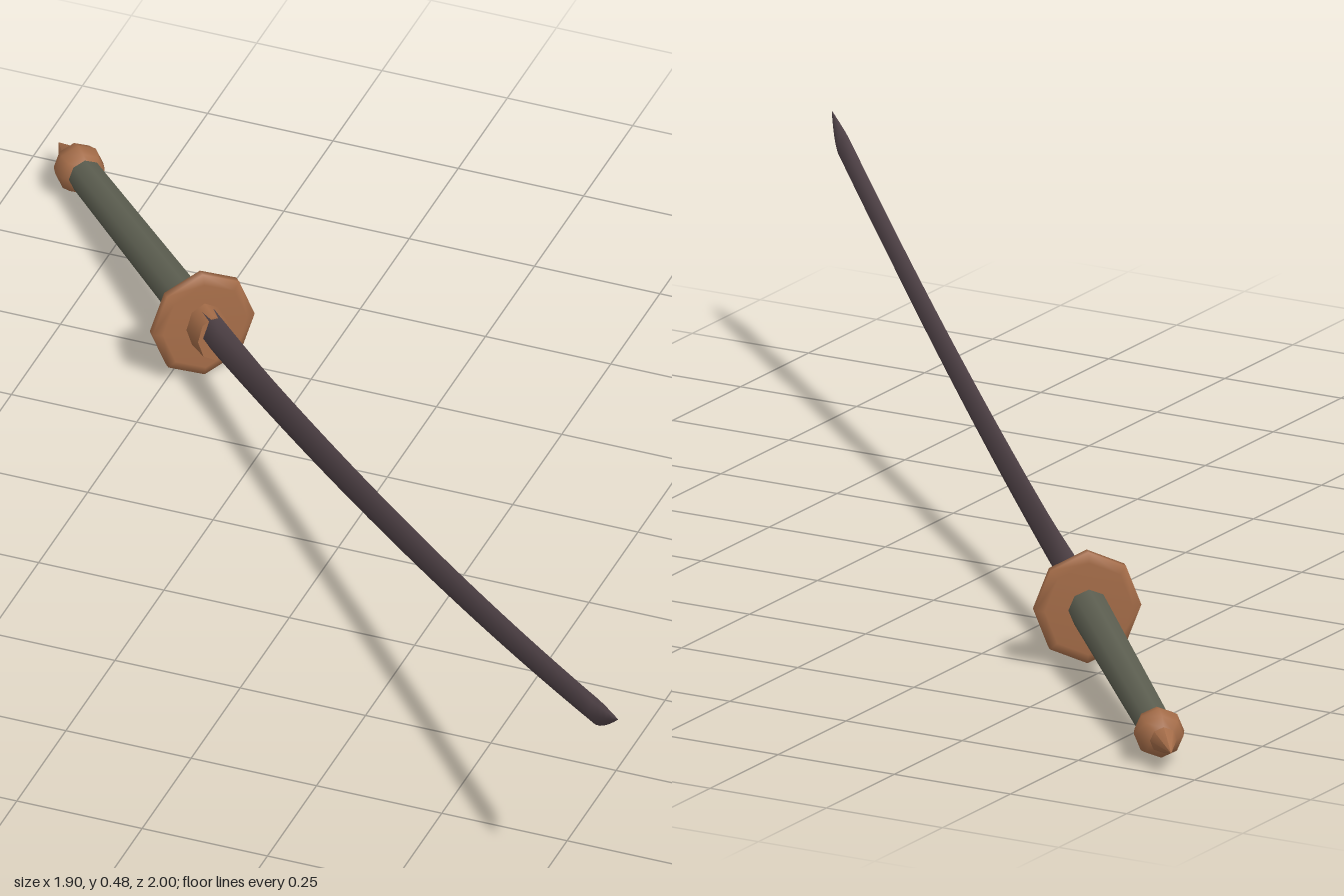
import * as THREE from 'three';

const metal = new THREE.MeshStandardMaterial({ color: 0x53454a });
metal.name = 'darkSteel';
const copper = new THREE.MeshStandardMaterial({ color: 0xa46c48 });
copper.name = 'copper';
const wrap = new THREE.MeshStandardMaterial({ color: 0x5d5f51 });
wrap.name = 'gripWrap';

const START = -0.61, BEND = 1.27, TIP = 1.379;

// Cross-section of the blade at distance s along the sword, as [s, y, z] points
function bladeSection(s) {
  const top = 0.225 + 0.137 * s + 0.0346 * s * s;
  const along = (s - START) / (TIP - START);
  const t = Math.max(0, (s - BEND) / (TIP - BEND));
  const taper = 1 - Math.pow(t, 1.4);
  const h = (0.08 - 0.027 * along) * taper;
  const root = Math.max(0, (-0.33 - s) / 0.29);
  const w = (0.0155 + 0.012 * root) * taper;
  const bow = 0.014 * (1 - along * along);
  return [
    [s, top, bow + w * 0.45], [s, top - h * 0.45, bow + w], [s, top - h, bow],
    [s, top - h * 0.45, bow - w], [s, top, bow - w * 0.45],
  ];
}

function bladeGeometry() {
  const stations = [];
  for (let i = 0; i <= 24; i++) stations.push(START + (BEND - START) * i / 24);
  for (let i = 1; i <= 5; i++) stations.push(BEND + (TIP - BEND) * i / 5);
  const index = [];
  for (let k = 0; k < stations.length - 1; k++) {
    for (let i = 0; i < 5; i++) {
      const a = k * 5 + i, b = k * 5 + (i + 1) % 5;
      index.push(a, b, b + 5, a, b + 5, a + 5);
    }
  }
  const g = new THREE.BufferGeometry();
  g.setAttribute('position', new THREE.Float32BufferAttribute(stations.map(bladeSection).flat(2), 3));
  g.setIndex(index);
  g.computeVertexNormals();
  return g;
}

export function createModel() {
  const model = new THREE.Group();
  model.name = 'curvedSword';

  // The sword lies along local x, turned to the diagonal
  const sword = new THREE.Group();
  sword.name = 'sword';
  sword.rotation.y = -Math.atan2(1, 0.95);
  model.add(sword);

  const add = (parent, name, geometry, material, x = 0) => {
    const mesh = new THREE.Mesh(geometry, material);
    mesh.name = name;
    mesh.position.x = x;
    parent.add(mesh);
    return mesh;
  };
  add(sword, 'blade', bladeGeometry(), metal);

  // Hilt, with its origin at the middle of the guard
  const hilt = new THREE.Group();
  hilt.name = 'hilt';
  hilt.position.set(-0.636, 0.11, 0.014);
  hilt.rotation.set(0, -0.019, Math.atan(0.088));
  sword.add(hilt);

  // Octagonal guard with bevelled rim, standing almost upright
  const rim = [[0, -0.015], [0.09, -0.015], [0.109, -0.008], [0.109, 0.008], [0.09, 0.015], [0, 0.015]]
    .map(([r, y]) => new THREE.Vector2(r, y));
  const guard = new THREE.LatheGeometry(rim, 8);
  guard.rotateZ(-Math.PI / 2);
  guard.scale(1, 1, 0.93);
  add(hilt, 'guard', guard, copper).rotation.z = -0.05;

  // Collar holding the blade
  const collar = new THREE.CylinderGeometry(0.046, 0.05, 0.06, 8);
  collar.rotateZ(-Math.PI / 2);
  collar.scale(1, 1, 0.75);
  add(hilt, 'collar', collar, copper, 0.038);

  // Grip, slightly wider toward the guard
  const grip = new THREE.CylinderGeometry(0.039, 0.033, 0.62, 8);
  grip.rotateZ(-Math.PI / 2);
  add(hilt, 'grip', grip, wrap, -0.31);

  // Pommel ball and its spike
  const ball = new THREE.SphereGeometry(0.048, 8, 6);
  ball.rotateZ(-Math.PI / 2);
  add(hilt, 'pommel', ball, copper, -0.638);
  const spike = new THREE.ConeGeometry(0.034, 0.09, 8);
  spike.rotateZ(Math.PI / 2);
  add(hilt, 'pommelSpike', spike, copper, -0.701);

  return model;
}
